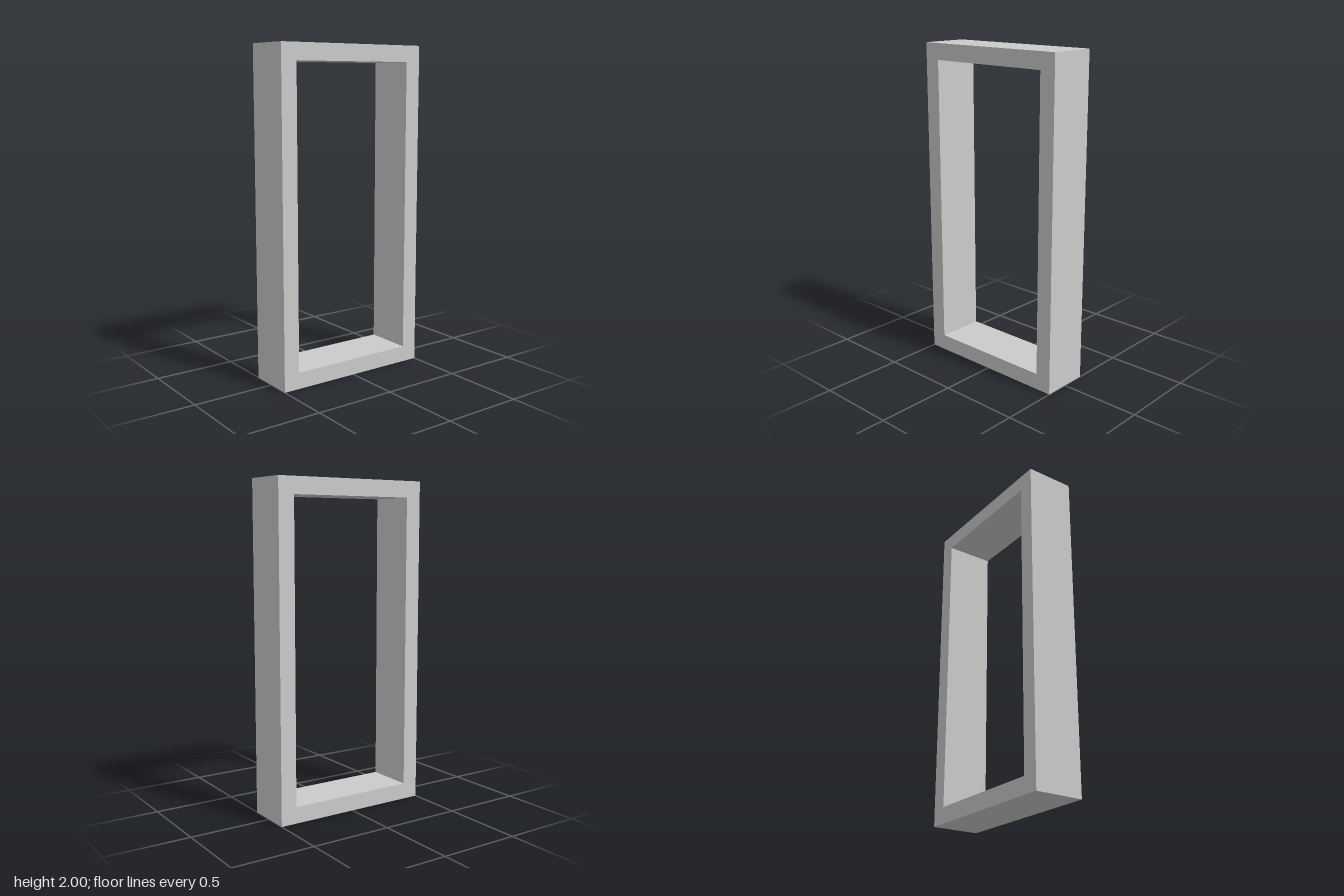
import * as THREE from 'three';

const HEIGHT = 2, WIDTH = 1, DEPTH = 0.3, BORDER = 0.1;

// Closed rectangle, centred on the local x axis, between two heights
function rectangle(PathType, halfWidth, bottom, top) {
  return new PathType([
    new THREE.Vector2(-halfWidth, bottom),
    new THREE.Vector2(halfWidth, bottom),
    new THREE.Vector2(halfWidth, top),
    new THREE.Vector2(-halfWidth, top),
  ]);
}

export function createModel() {
  const group = new THREE.Group();
  group.name = 'rectangularFrame';

  // Frame outline with its opening, extruded through the depth
  const outline = rectangle(THREE.Shape, WIDTH / 2, 0, HEIGHT);
  outline.holes.push(rectangle(THREE.Path, WIDTH / 2 - BORDER, BORDER, HEIGHT - BORDER));
  const geometry = new THREE.ExtrudeGeometry(outline, { depth: DEPTH, bevelEnabled: false });

  // Centre the depth and turn the opening to face sideways along x
  geometry.translate(0, 0, -DEPTH / 2);
  geometry.rotateY(Math.PI / 2);

  const material = new THREE.MeshStandardMaterial({ color: 0xcccccc, flatShading: true });
  const frame = new THREE.Mesh(geometry, material);
  frame.name = 'frame';
  group.add(frame);
  return group;
}
